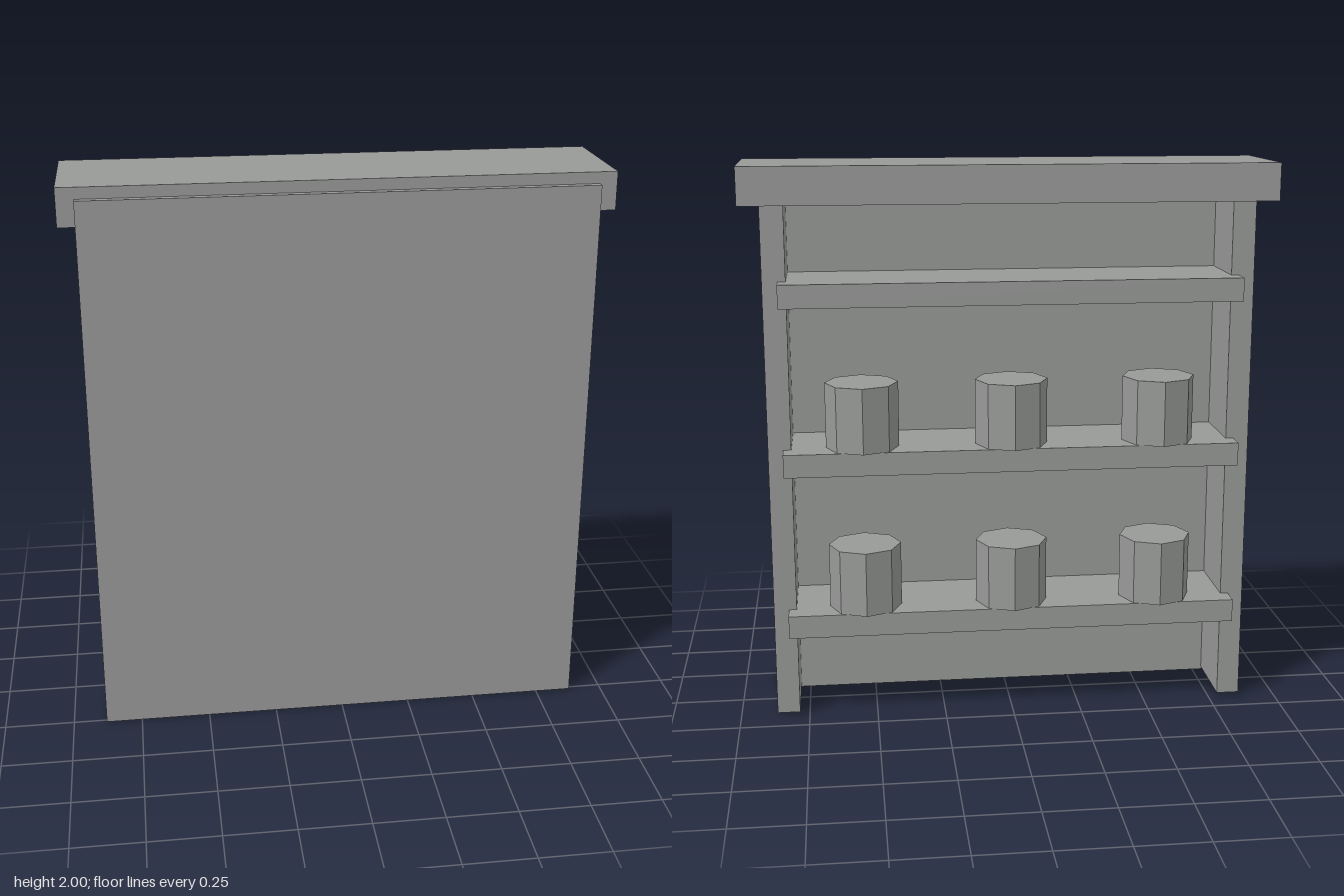
import * as THREE from 'three';

export function createModel() {
  const model = new THREE.Group();
  model.name = 'barricadeWithShelves';
  const grey = new THREE.MeshStandardMaterial({ color: 0x989a98, flatShading: true });
  grey.name = 'grey';

  // Box given by its extents on each axis
  const box = (name, [x0, x1], [y0, y1], [z0, z1]) => {
    const mesh = new THREE.Mesh(new THREE.BoxGeometry(x1 - x0, y1 - y0, z1 - z0), grey);
    mesh.position.set((x0 + x1) / 2, (y0 + y1) / 2, (z0 + z1) / 2);
    mesh.name = name;
    model.add(mesh);
  };

  // Front panel and overhanging top cap
  box('frontPanel', [-0.88, 0.88], [0, 1.96], [0.105, 0.262]);
  box('topCap', [-0.94, 0.94], [1.867, 2], [-0.193, 0.236]);

  // Side posts behind the panel
  box('leftPost', [0.785, 0.867], [0.01, 1.9], [-0.155, 0.11]);
  box('rightPost', [-0.867, -0.785], [0.01, 1.9], [-0.155, 0.11]);

  // Three shelves, the lower two carrying three octagonal pots each
  const potGeometry = new THREE.CylinderGeometry(0.13, 0.13, 0.235, 8);
  for (let i = 0; i < 3; i++) {
    const top = 0.41 + i * 0.597;
    box('shelf', [-0.813, 0.813], [top - 0.083, top], [-0.23, 0.11]);
    if (i === 2) continue;
    for (const x of [-0.533, 0, 0.533]) {
      const pot = new THREE.Mesh(potGeometry, grey);
      pot.position.set(x, top + 0.1185, -0.132);
      pot.name = 'pot';
      model.add(pot);
    }
  }
  return model;
}
